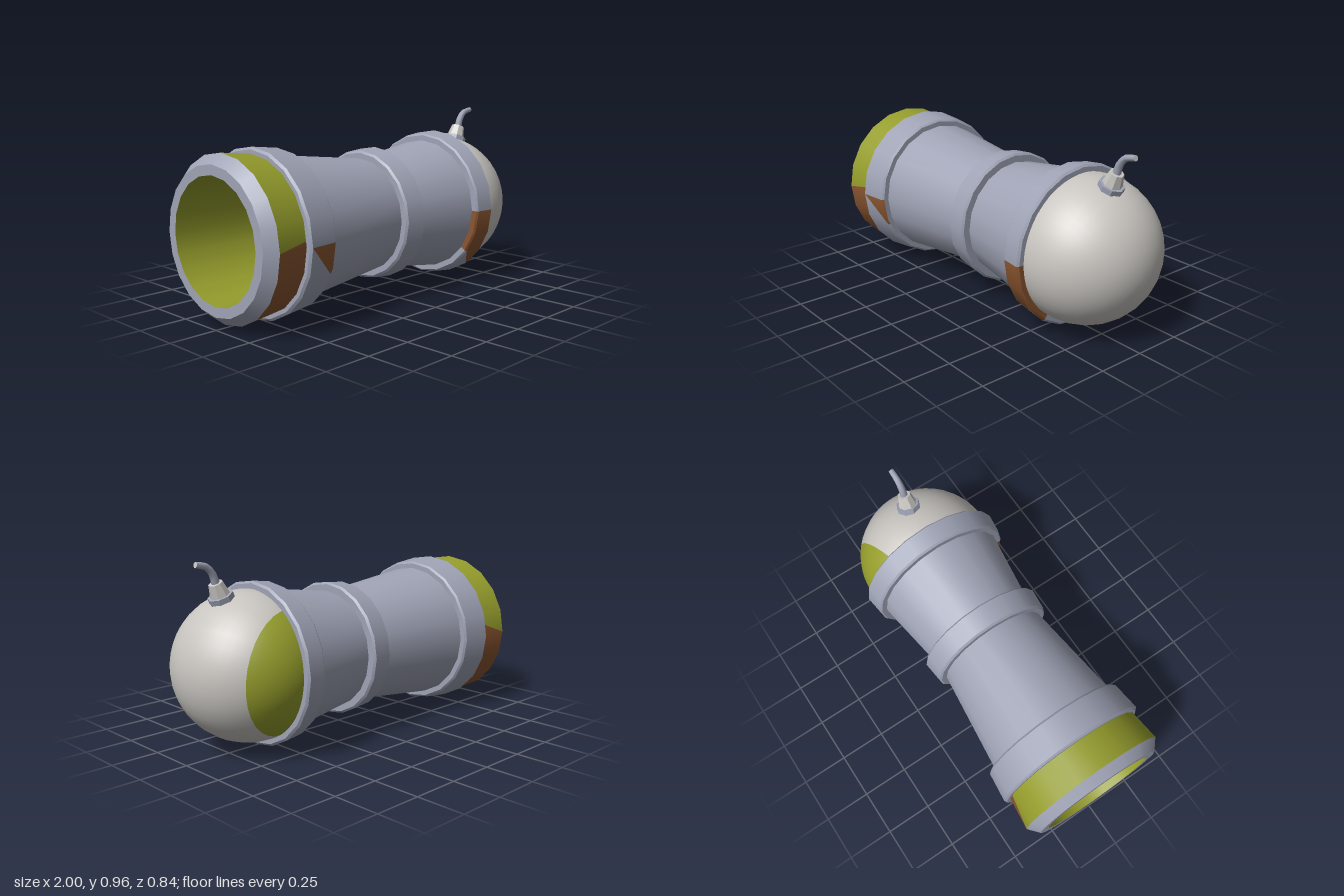
import * as THREE from 'three';
import { mergeGeometries } from 'three/addons/utils/BufferGeometryUtils.js';

const AXIS_Y = 0.42, SIDES = 20, STEP = 360 / SIDES;
const FULL = [0, 360];
const rad = THREE.MathUtils.degToRad;

// One conical strip around the x axis, from radius r0 at x0 to r1 at x1.
// a and b are its angle ranges at either end (0 = front, 90 = top).
function strip([x0, r0], [x1, r1], a = FULL, b = a) {
  const pos = [], nor = [], idx = [];
  const lo = Math.min(a[0], b[0]), hi = Math.max(a[1], b[1]);
  const stops = [lo];
  for (let g = (Math.floor(lo / STEP) + 1) * STEP; g < hi; g += STEP) stops.push(g);
  stops.push(hi);
  const add = (x, r, deg, range) => {
    const d = THREE.MathUtils.clamp(deg, range[0], range[1]);
    const local = d - (Math.floor(d / STEP) + 0.5) * STEP;
    const rr = r * Math.cos(rad(STEP / 2)) / Math.cos(rad(local)); // stay on the flat side
    const s = Math.sin(rad(d)), c = Math.cos(rad(d));
    pos.push(x, rr * s, rr * c);
    const n = new THREE.Vector3(r0 - r1, s * (x1 - x0), c * (x1 - x0)).normalize();
    nor.push(n.x, n.y, n.z);
  };
  stops.forEach((g, i) => {
    add(x0, r0, g, a);
    add(x1, r1, g, b);
    if (i) {
      const k = 2 * i;
      idx.push(k - 2, k - 1, k + 1, k - 2, k + 1, k);
    }
  });
  const geo = new THREE.BufferGeometry();
  geo.setAttribute('position', new THREE.Float32BufferAttribute(pos, 3));
  geo.setAttribute('normal', new THREE.Float32BufferAttribute(nor, 3));
  geo.setIndex(idx);
  return geo;
}

const profile = (pts) => pts.slice(1).map((p, i) => strip(pts[i], p));

export function createModel() {
  const model = new THREE.Group();
  const material = (name, color) => {
    const m = new THREE.MeshStandardMaterial({ color });
    m.name = name;
    return m;
  };
  const metal = material('blue grey metal', 0x9fa3b5);
  const green = material('moss green', 0x959d2c);
  const rust = material('rust brown', 0x8a5530);
  const pale = material('pale grey', 0xc8c5c0);

  const barrel = new THREE.Group();
  barrel.name = 'barrel';
  barrel.position.y = AXIS_Y;
  model.add(barrel);
  const add = (name, mat, geos, parent = barrel) => {
    const mesh = new THREE.Mesh(Array.isArray(geos) ? mergeGeometries(geos) : geos, mat);
    mesh.name = name;
    parent.add(mesh);
    return mesh;
  };

  // Hollow bore, rim and chamfered lip
  add('bore', green, profile([[0.15, 0], [0.15, 0.285], [-1, 0.31]]));
  add('muzzleRim', metal, profile([[-1, 0.31], [-1, 0.36], [-0.945, 0.408]]));

  // Muzzle band: green above, rust below
  const b0 = [-0.945, 0.408], b1 = [-0.775, 0.39];
  add('muzzleBandTop', green, strip(b0, b1, [0, 180], [4, 170]));
  add('muzzleBandBottom', rust, strip(b0, b1, [180, 360], [170, 364]));

  // Tapered tube halves meeting at the waist
  add('rearTube', metal, strip([-0.6, 0.368], [-0.045, 0.305]));
  add('frontTube', metal, strip([0.085, 0.31], [0.47, 0.365]));

  // Muzzle collar with a rust triangle
  const c0 = [-0.765, 0.422], c1 = [-0.61, 0.405];
  add('muzzleCollar', metal, [
    ...profile([[-0.775, 0.38], [-0.775, 0.41], c0]),
    strip(c0, c1, [0, 360], [0, 337]),
    strip(c1, [-0.6, 0.395], [0, 337]),
    strip([-0.6, 0.395], [-0.6, 0.36]),
  ]);
  add('muzzleCollarRust', rust, [
    strip(c0, c1, [360, 360], [337, 360]),
    strip(c1, [-0.6, 0.395], [337, 360]),
  ]);

  // Waist collar
  add('waistCollar', metal, profile([
    [-0.045, 0.3], [-0.045, 0.335], [-0.035, 0.346], [0.075, 0.357], [0.085, 0.346], [0.085, 0.3],
  ]));

  // Ball collar with a rust patch that wraps onto its end face
  const ring = [[0.47, 0.36], [0.47, 0.395], [0.48, 0.404], [0.58, 0.416], [0.59, 0.405], [0.59, 0.37]];
  const low = [324, 324, 324, 306, 306, 306];
  const clean = [], rusty = [];
  for (let i = 0; i < 5; i++) {
    clean.push(strip(ring[i], ring[i + 1], [0, low[i]], [0, low[i + 1]]));
    rusty.push(strip(ring[i], ring[i + 1], [low[i], 360], [low[i + 1], 360]));
  }
  add('ballCollar', metal, clean);
  add('ballCollarRust', rust, rusty);

  // Ball with a green cap on its back side
  const ball = new THREE.Group();
  ball.name = 'ball';
  ball.position.set(0.62, AXIS_Y, 0);
  ball.quaternion.setFromUnitVectors(
    new THREE.Vector3(0, 1, 0), new THREE.Vector3(-0.26, -0.04, -0.96).normalize());
  const cap = rad(55);
  add('ballCap', green, new THREE.SphereGeometry(0.379, 32, 10, 0, Math.PI * 2, 0, cap), ball);
  add('ballShell', pale, new THREE.SphereGeometry(0.379, 32, 18, 0, Math.PI * 2, cap, Math.PI - cap), ball);
  model.add(ball);

  // Fuse holder standing square to the ball
  const holder = new THREE.Group();
  holder.name = 'fuseHolder';
  holder.position.set(0.62, AXIS_Y, 0);
  holder.rotation.z = -0.4;
  const faceted = (top, bottom, h, y) => {
    const g = new THREE.CylinderGeometry(top, bottom, h, 8).toNonIndexed();
    g.translate(0, y, 0);
    g.computeVertexNormals();
    return g;
  };
  add('fuseNut', metal, faceted(0.064, 0.064, 0.045, 0.378), holder);
  add('fuseCone', pale, faceted(0.036, 0.05, 0.065, 0.432), holder);
  model.add(holder);

  // Bent fuse, narrowing to the tip
  const path = new THREE.CatmullRomCurve3([
    [0.797, 0.835], [0.815, 0.89], [0.85, 0.928], [0.91, 0.942],
  ].map(([x, y]) => new THREE.Vector3(x, y, 0)));
  const segs = 6, around = 8;
  const fuse = new THREE.TubeGeometry(path, segs, 0.021, around);
  const p = fuse.attributes.position;
  for (let i = 0; i < p.count; i++) {
    const t = Math.floor(i / (around + 1)) / segs;
    const v = new THREE.Vector3().fromBufferAttribute(p, i);
    v.sub(path.getPointAt(t)).multiplyScalar(1 - 0.3 * t).add(path.getPointAt(t));
    p.setXYZ(i, v.x, v.y, v.z);
  }
  add('fuse', metal, fuse, model);
  const tip = add('fuseTip', pale, new THREE.CircleGeometry(0.0147, around), model);
  tip.position.copy(path.getPointAt(1));
  tip.quaternion.setFromUnitVectors(new THREE.Vector3(0, 0, 1), path.getTangentAt(1));

  return model;
}
